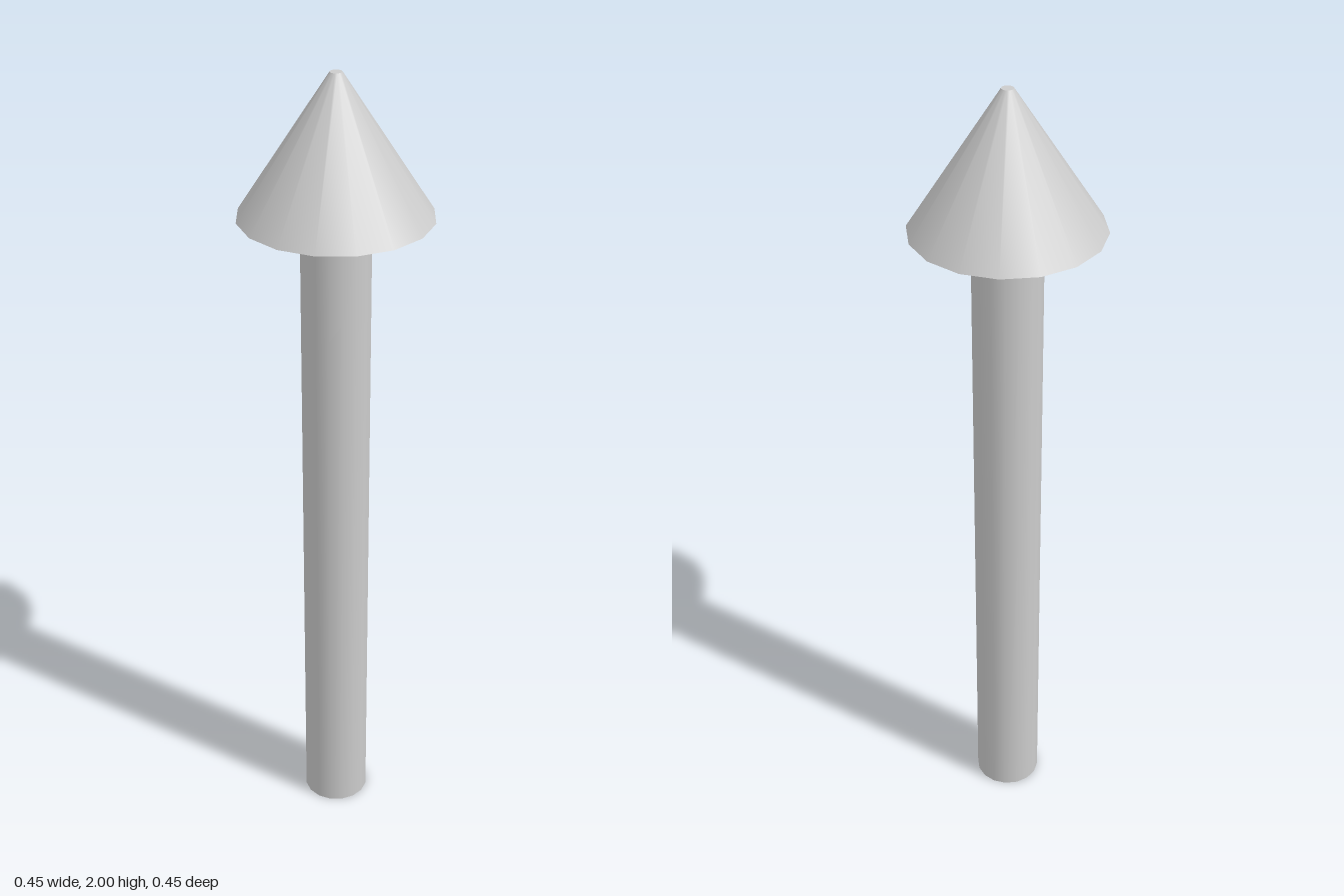
import * as THREE from 'three';

export function createModel() {
  const model = new THREE.Group();
  const material = new THREE.MeshStandardMaterial({ color: 0xcccccc });
  const sides = 16;
  const headBase = 1.67;
  const height = 2;

  // Upright capped cylinder or truncated cone between two heights
  const addRound = (name, topRadius, bottomRadius, y0, y1) => {
    const geometry = new THREE.CylinderGeometry(topRadius, bottomRadius, y1 - y0, sides);
    const mesh = new THREE.Mesh(geometry, material);
    mesh.name = name;
    mesh.position.y = (y0 + y1) / 2;
    model.add(mesh);
  };

  // Straight shaft, standing on the ground
  addRound('shaft', 0.083, 0.083, 0, headBase);

  // Conical head with a tiny blunt tip
  addRound('arrowHead', 0.014, 0.227, headBase, height);

  return model;
}
